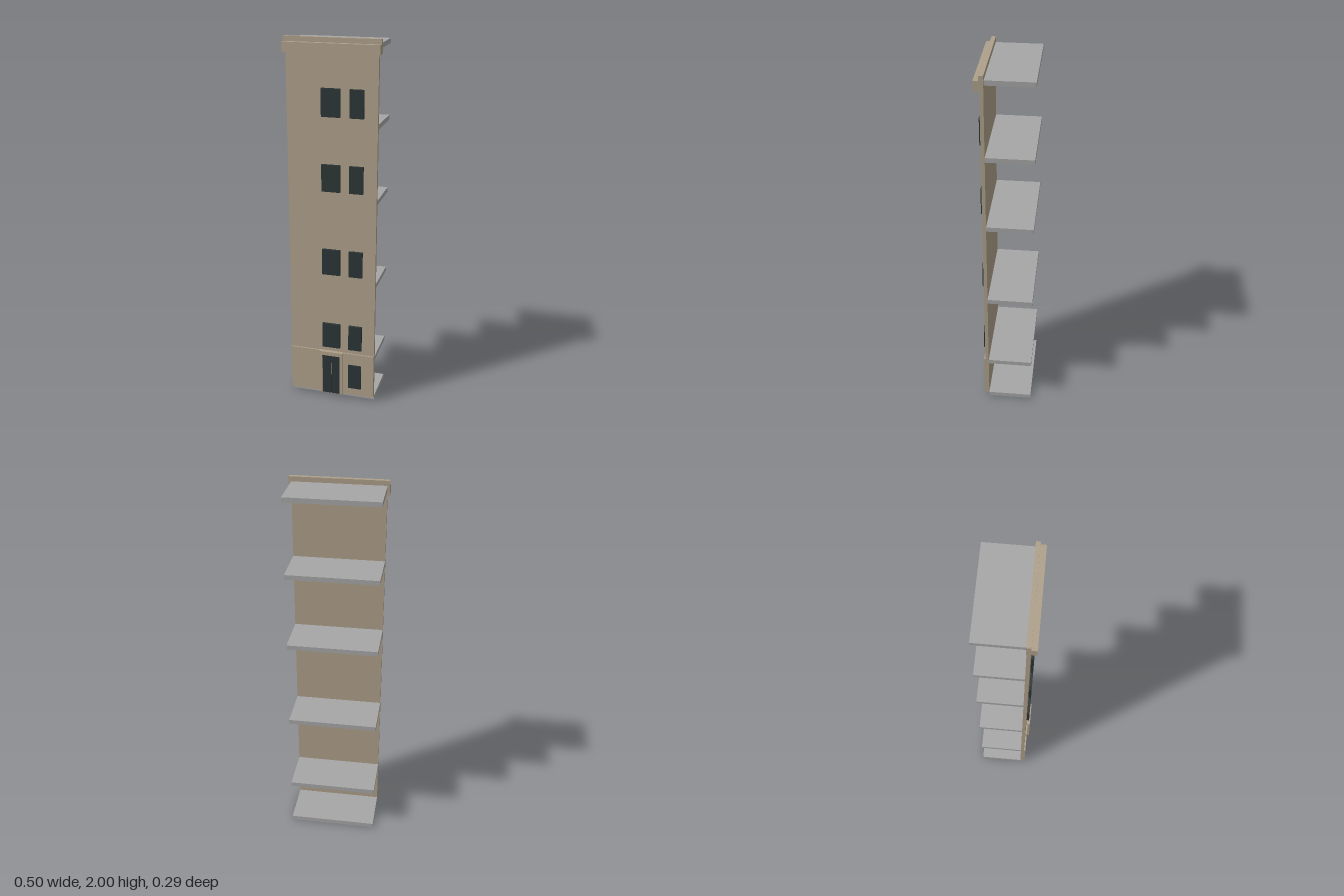
import * as THREE from 'three';

export function createModel() {
  const model = new THREE.Group();
  model.name = 'buildingFacade';

  const mat = (name, color) => {
    const m = new THREE.MeshStandardMaterial({ color });
    m.name = name;
    return m;
  };
  const stone = mat('sandstone', 0xaea08a);
  const concrete = mat('concrete', 0xa6a6a6);
  const glass = mat('darkGlass', 0x2b3536);

  // Box given by its extents on each axis
  const block = (name, material, [x0, x1], [y0, y1], [z0, z1]) => {
    const mesh = new THREE.Mesh(new THREE.BoxGeometry(x1 - x0, y1 - y0, z1 - z0), material);
    mesh.position.set((x0 + x1) / 2, (y0 + y1) / 2, (z0 + z1) / 2);
    mesh.name = name;
    model.add(mesh);
  };

  const wide = [-0.238, 0.238];
  const back = 0.097;

  // Floor slabs and roof slab
  [0, 0.253, 0.69, 1.158, 1.555, 1.95].forEach((y, i) =>
    block(i === 5 ? 'roofSlab' : 'floorSlab' + i, concrete, wide, [y, y + 0.025], [-0.144, back]));

  // Front wall with thicker ground-floor cladding
  block('wall', stone, wide, [0.025, 1.93], [back, 0.116]);
  block('groundCladding', stone, wide, [0.025, 0.283], [0.116, 0.124]);

  // Cornice and parapet
  block('cornice', stone, [-0.25, 0.25], [1.926, 1.975], [0.095, 0.144]);
  block('parapet', stone, [-0.25, 0.25], [1.975, 2], [0.095, 0.117]);

  // Windows, a wide and a narrow one on each upper floor
  const wideWindow = [-0.053, 0.046];
  const narrowWindow = [0.095, 0.168];
  [0.312, 0.751, 1.218, 1.61].forEach((y, i) => {
    block('wideWindow' + (i + 1), glass, wideWindow, [y, y + 0.144], [0.114, 0.131]);
    block('narrowWindow' + (i + 1), glass, narrowWindow, [y, y + 0.144], [0.114, 0.131]);
  });
  block('groundWindow', glass, narrowWindow, [0.071, 0.216], [0.114, 0.131]);

  // Double door
  block('doorLeafRight', glass, [-0.053, -0.005], [0.022, 0.262], [0.114, 0.13]);
  block('doorLeafLeft', glass, [-0.003, 0.046], [0.022, 0.262], [0.114, 0.13]);

  // Door surround
  block('doorJambRight', stone, [-0.068, -0.053], [0.025, 0.285], [0.116, 0.138]);
  block('doorJambLeft', stone, [0.046, 0.064], [0.025, 0.285], [0.116, 0.138]);
  block('doorHeader', stone, [-0.053, 0.046], [0.262, 0.285], [0.116, 0.138]);

  return model;
}
